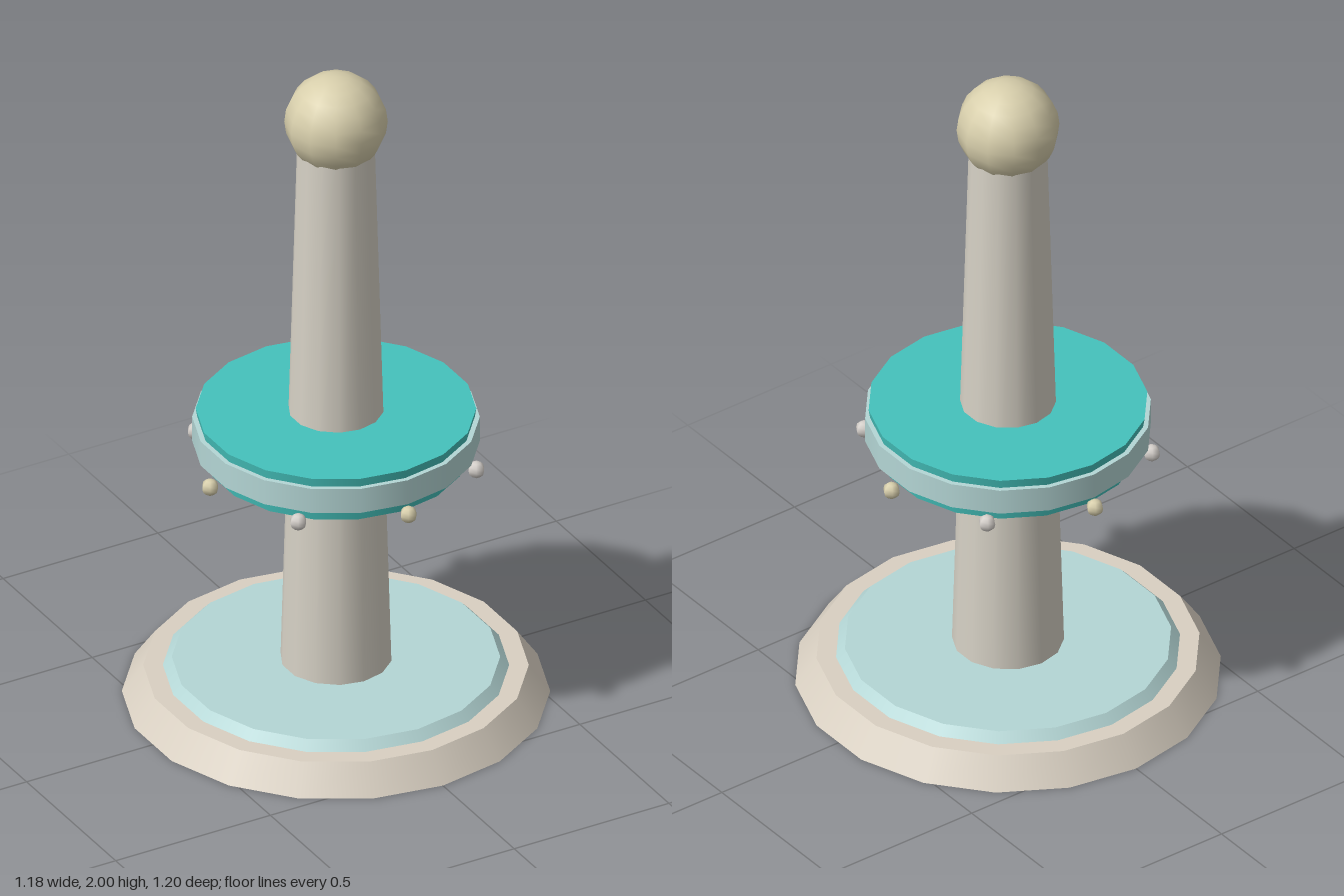
import * as THREE from 'three';

const mat = (name, color) => {
  const m = new THREE.MeshStandardMaterial({ color });
  m.name = name;
  return m;
};

export function createModel() {
  const model = new THREE.Group();
  model.name = 'ringTower';

  const stone = mat('warm stone', 0xd9d0c2);
  const column = mat('pale stone', 0xd6d1c5);
  const pale = mat('pale aqua', 0xb4d6d5);
  const teal = mat('teal', 0x45c2bc);
  const gold = mat('soft gold', 0xd8cfac);
  const silver = mat('silver', 0xd4cfca);

  const add = (name, geometry, material, x, y, z) => {
    const mesh = new THREE.Mesh(geometry, material);
    mesh.name = name;
    mesh.position.set(x, y, z);
    model.add(mesh);
  };
  // Tapered round part between two heights
  const drum = (name, material, rBottom, rTop, y0, y1, sides = 18) =>
    add(name, new THREE.CylinderGeometry(rTop, rBottom, y1 - y0, sides), material, 0, (y0 + y1) / 2, 0);

  // Stepped base
  drum('base', stone, 0.6, 0.54, 0, 0.085);
  drum('basePlate', pale, 0.485, 0.46, 0.085, 0.112);

  // Column and finial ball
  drum('column', column, 0.157, 0.11, 0.112, 1.785, 14);
  add('finialBall', new THREE.SphereGeometry(0.145, 12, 12), gold, 0, 1.855, 0);

  // Gallery disc with its surrounding band
  drum('galleryDisc', teal, 0.37, 0.393, 0.775, 0.92);
  drum('galleryBand', pale, 0.403, 0.403, 0.815, 0.893);

  // Beads below the gallery, alternating in colour
  const beadGeometry = new THREE.SphereGeometry(0.025, 6, 6);
  for (let i = 0; i < 8; i++) {
    const a = (i * Math.PI) / 4;
    add('bead', beadGeometry, i % 2 ? silver : gold, 0.407 * Math.cos(a), 0.784, 0.407 * Math.sin(a));
  }
  return model;
}
